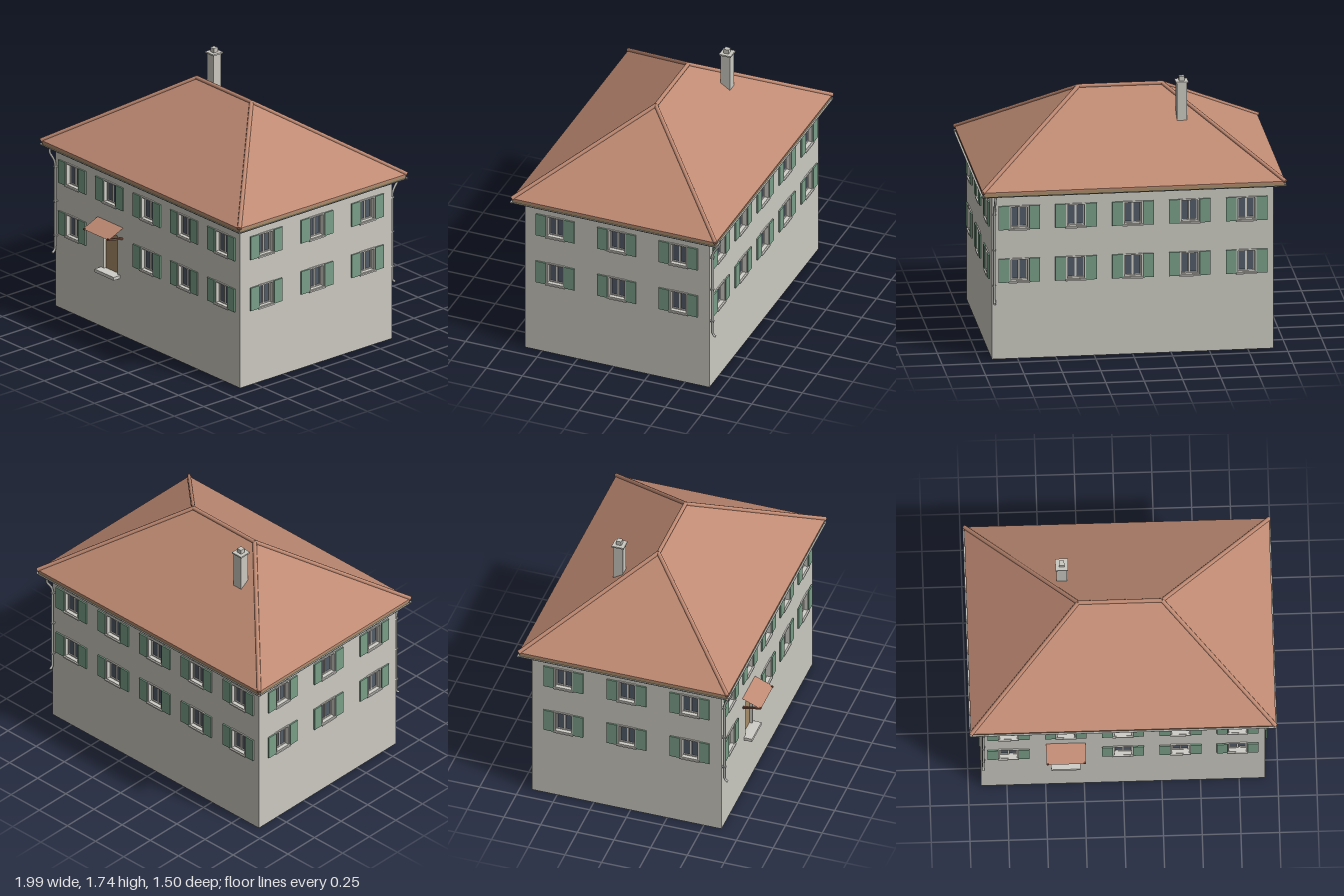
import * as THREE from 'three';

const mat = (name, color, double = false) => {
  const m = new THREE.MeshStandardMaterial({ color });
  m.name = name;
  if (double) m.side = THREE.DoubleSide;
  return m;
};

export function createModel() {
  const M = {
    wall: mat('plaster', 0xcbc9c1, true),
    tile: mat('roof tile', 0xbf8a73, true),
    wood: mat('wood', 0xa88d69),
    shutter: mat('shutter green', 0x7a9f88),
    glass: mat('window glass', 0x525b67, true),
    frame: mat('window frame', 0xd0cec7),
    metal: mat('gutter metal', 0xb9b9b5, true),
    strut: mat('dark wood', 0x7d5140),
  };
  const house = new THREE.Group();
  house.name = 'house';

  const HX = 0.917, HZ = 0.645, CZ = -0.025, WALL_TOP = 1.13;
  const add = (parent, name, geo, material, x = 0, y = 0, z = 0) => {
    const m = new THREE.Mesh(geo, material);
    m.name = name;
    m.position.set(x, y, z);
    parent.add(m);
    return m;
  };
  const box = (w, h, d) => new THREE.BoxGeometry(w, h, d);
  const rect = (C, w, h, x = 0, y = 0) => new C([
    [-w, -h], [w, -h], [w, h], [-w, h],
  ].map(([a, b]) => new THREE.Vector2(x + a / 2, y + b / 2)));
  // rectangular ring with border t, from z0 to z1
  const ring = (w, h, t, z0, z1) => {
    const s = rect(THREE.Shape, w, h);
    s.holes.push(rect(THREE.Path, w - 2 * t, h - 2 * t));
    return new THREE.ExtrudeGeometry(s, { depth: z1 - z0, bevelEnabled: false }).translate(0, 0, z0);
  };
  // round bar between two points
  const bar = (parent, name, a, b, r, material, sides = 8) => {
    const d = b.clone().sub(a);
    const m = add(parent, name, new THREE.CylinderGeometry(r, r, d.length(), sides), material);
    m.position.copy(a).addScaledVector(d, 0.5);
    m.quaternion.setFromUnitVectors(new THREE.Vector3(0, 1, 0), d.normalize());
    return m;
  };
  const V = (x, y, z) => new THREE.Vector3(x, y, z);

  // Windows with shutters
  const WW = 0.128, WH = 0.16;
  const G = {
    surround: ring(WW, WH, 0.009, -0.035, 0.008),
    casement: ring(WW - 0.018, WH - 0.018, 0.007, -0.03, -0.018),
    mullion: box(0.012, WH - 0.03, 0.012),
    glass: new THREE.PlaneGeometry(WW - 0.02, WH - 0.02),
    sill: box(0.136, 0.01, 0.024),
    shutter: box(0.07, WH, 0.01),
  };
  const addWindow = (parent, x, y) => {
    const g = new THREE.Group();
    g.name = 'window';
    g.position.set(x, y, 0);
    parent.add(g);
    add(g, 'windowSurround', G.surround, M.frame);
    add(g, 'casement', G.casement, M.frame);
    add(g, 'mullion', G.mullion, M.frame, 0, 0, -0.024);
    add(g, 'windowGlass', G.glass, M.glass, 0, 0, -0.025);
    add(g, 'windowSill', G.sill, M.frame, 0, -WH / 2, 0.006);
    for (const s of [-1, 1]) add(g, 'shutter', G.shutter, M.shutter, s * 0.1, 0, 0.009);
  };

  // Walls: each side is a sheet with openings, built facing +z and turned into place
  const DOOR = { x: -0.37, y: 0.545, w: 0.14, h: 0.27 };
  const addSide = (name, width, columns, angle, px, pz, door) => {
    const side = new THREE.Group();
    side.name = name;
    side.position.set(px, 0, pz);
    side.rotation.y = angle;
    house.add(side);
    const shape = rect(THREE.Shape, width, WALL_TOP, 0, WALL_TOP / 2);
    for (const x of columns) for (const y of [0.6, 0.957]) {
      if (door && x === DOOR.x && y < 0.8) {
        shape.holes.push(rect(THREE.Path, DOOR.w, DOOR.h, DOOR.x, DOOR.y));
      } else {
        shape.holes.push(rect(THREE.Path, WW - 0.004, WH - 0.004, x, y));
        addWindow(side, x, y);
      }
    }
    add(side, 'wall', new THREE.ShapeGeometry(shape), M.wall);
    return side;
  };
  const long = [-0.74, -0.37, 0, 0.37, 0.74], short = [-0.43, 0, 0.43];
  const front = addSide('frontSide', 2 * HX, long, 0, 0, CZ + HZ, true);
  addSide('backSide', 2 * HX, long, Math.PI, 0, CZ - HZ);
  addSide('leftSide', 2 * HZ, short, Math.PI / 2, HX, CZ);
  addSide('rightSide', 2 * HZ, short, -Math.PI / 2, -HX, CZ);

  // Entrance: door, step and canopy
  add(front, 'doorReveal', ring(DOOR.w + 0.004, DOOR.h + 0.004, 0.003, -0.03, 0.001), M.wall, DOOR.x, DOOR.y);
  add(front, 'door', box(DOOR.w, DOOR.h, 0.01), M.wood, DOOR.x, DOOR.y, -0.024);
  add(front, 'doorStep', box(0.19, 0.022, 0.055), M.frame, DOOR.x, 0.402, 0.0275);
  const canopy = add(front, 'canopyRoof', new THREE.PlaneGeometry(0.255, 0.136), M.tile, DOOR.x, 0.7275, 0.0625);
  canopy.rotation.x = -Math.atan2(0.125, 0.053);
  for (const s of [-1, 1]) {
    const strut = add(front, 'canopyStrut', box(0.013, 0.012, 0.128), M.strut, DOOR.x + s * 0.118, 0.69, 0.0625);
    strut.rotation.x = -Math.atan2(0.025, 0.125);
  }

  // Hipped roof
  const RX = 0.985, RZ = 0.713, RC = -0.028, EAVE = 1.142, EDGE = 1.152, TOP = 1.622;
  const ridgeX = RX - RZ;
  const corners = [V(-RX, EDGE, RC + RZ), V(RX, EDGE, RC + RZ), V(RX, EDGE, RC - RZ), V(-RX, EDGE, RC - RZ)];
  const ends = [V(-ridgeX, TOP, RC), V(ridgeX, TOP, RC)];
  const pts = [];
  const face = (...p) => {
    for (let i = 1; i < p.length - 1; i++) for (const q of [p[0], p[i], p[i + 1]]) pts.push(q.x, q.y, q.z);
  };
  face(corners[0], corners[1], ends[1], ends[0]);
  face(corners[1], corners[2], ends[1]);
  face(corners[2], corners[3], ends[0], ends[1]);
  face(corners[3], corners[0], ends[0]);
  corners.forEach((a, i) => {
    const b = corners[(i + 1) % 4];
    face(V(a.x, EAVE, a.z), V(b.x, EAVE, b.z), b, a);
  });
  const roofGeo = new THREE.BufferGeometry();
  roofGeo.setAttribute('position', new THREE.Float32BufferAttribute(pts, 3));
  roofGeo.computeVertexNormals();
  add(house, 'roof', roofGeo, M.tile);
  add(house, 'eavesBoard', box(2 * RX - 0.01, 0.02, 2 * RZ - 0.01), M.wood, 0, 1.132, RC);

  // Ridge and hip caps
  bar(house, 'ridgeCap', ends[0], ends[1], 0.014, M.tile);
  corners.forEach((c, i) => bar(house, 'hipCap', c, ends[i === 1 || i === 2 ? 1 : 0], 0.014, M.tile));

  // Half-round gutters along all eaves
  const gutter = (len) => new THREE.CylinderGeometry(0.011, 0.011, len, 8, 1, true, 0, Math.PI).rotateZ(-Math.PI / 2);
  for (const s of [-1, 1]) {
    add(house, 'gutter', gutter(2 * RX + 0.01), M.metal, 0, 1.127, RC + s * (RZ - 0.003));
    add(house, 'gutter', gutter(2 * RZ), M.metal, s * (RX - 0.002), 1.127, RC).rotation.y = Math.PI / 2;
  }

  // Downpipes at two opposite corners, with wall clips
  for (const s of [1, -1]) {
    const x = -s * 0.902, wall = CZ + s * HZ, z = wall + s * 0.016;
    const eave = RC + s * (RZ - 0.003);
    const path = new THREE.CurvePath();
    const p = [V(x, 1.12, eave), V(x, 1.098, eave), V(x, 1.04, z), V(x, 0.99, z), V(x, 0.415, z), V(x, 0.385, z + s * 0.022)];
    path.add(new THREE.LineCurve3(p[0], p[1]));
    path.add(new THREE.CubicBezierCurve3(p[1], V(x, 1.075, eave), p[2], p[3]));
    path.add(new THREE.LineCurve3(p[3], p[4]));
    path.add(new THREE.QuadraticBezierCurve3(p[4], V(x, 0.395, z), p[5]));
    add(house, 'downpipe', new THREE.TubeGeometry(path, 60, 0.008, 8), M.metal);
    for (const y of [0.5, 0.74, 0.98]) {
      add(house, 'pipeClip', box(0.02, 0.008, 0.026), M.metal, x, y, wall + s * 0.013);
    }
  }

  // Chimney
  const chimney = new THREE.Group();
  chimney.name = 'chimney';
  chimney.position.set(-0.37, 0, -0.26);
  house.add(chimney);
  add(chimney, 'chimneyStack', box(0.066, 0.3, 0.066), M.wall, 0, 1.55, 0);
  add(chimney, 'chimneyCap', box(0.082, 0.01, 0.082), M.wall, 0, 1.705, 0);
  add(chimney, 'chimneyPot', box(0.034, 0.03, 0.034), M.wall, 0, 1.725, 0);

  return house;
}
